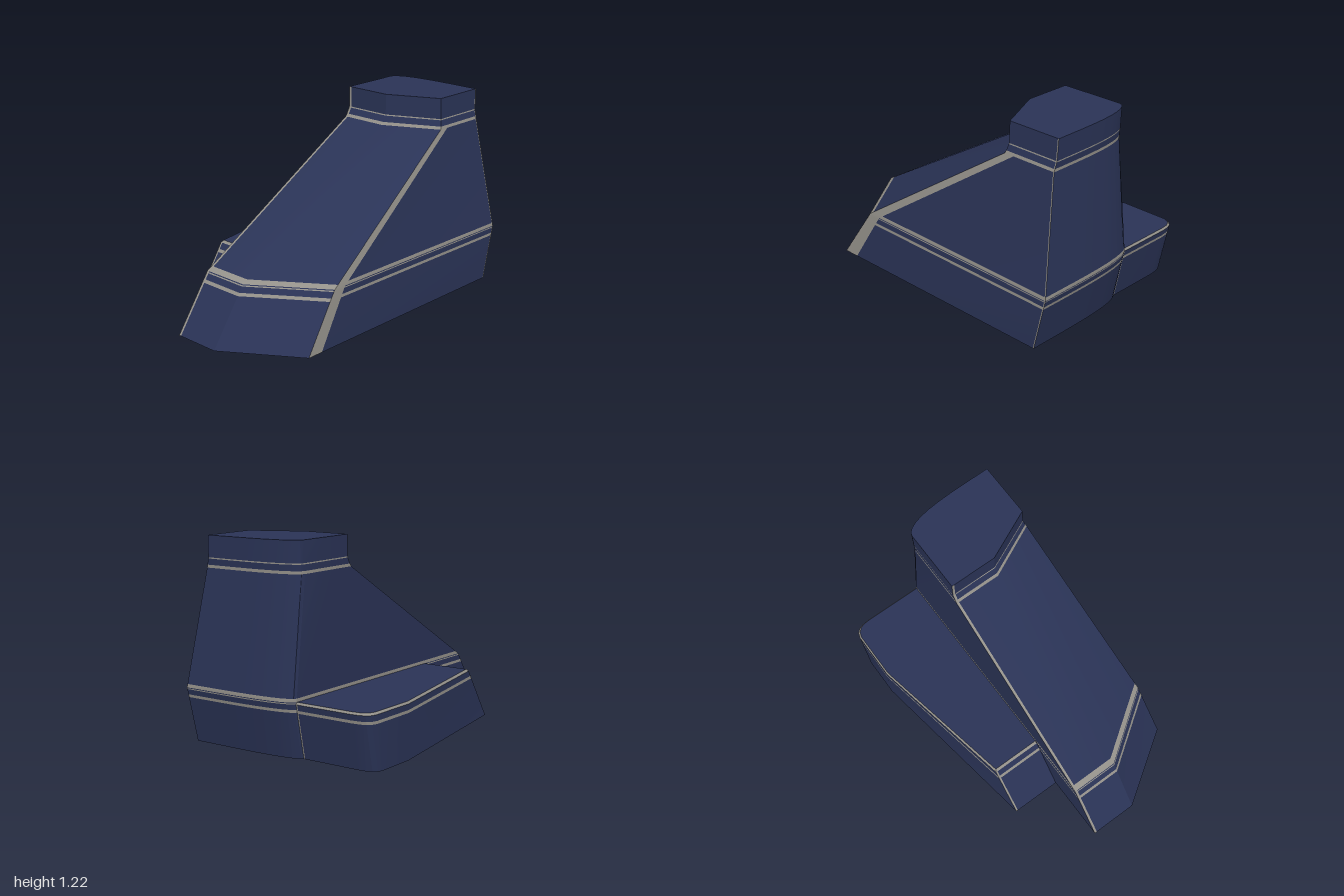
import * as THREE from 'three';
import { toCreasedNormals } from 'three/addons/utils/BufferGeometryUtils.js';

const navy = new THREE.MeshStandardMaterial({ color: 0x2a3356, side: THREE.DoubleSide });
const grey = new THREE.MeshStandardMaterial({ color: 0x94918a, side: THREE.DoubleSide });

const LEFT = -0.13; // shared plane between tower and side wing

// Interpolates a table of [y, ...values] rows at height y
function sample(table, y) {
  let i = 0;
  while (i < table.length - 2 && y > table[i + 1][0]) i++;
  const a = table[i], b = table[i + 1];
  const t = (y - a[0]) / (b[0] - a[0]);
  return a.slice(1).map((v, k) => v + (b[k + 1] - v) * t);
}

// Joins stacked rings (counter-clockwise from above) and sorts panels by material;
// kind(column, y) returns 'panel', 'trim' or null for an opening
function skin(group, name, rings, kind, capTop) {
  const out = { panel: [], trim: [] };
  const push = (list, ...pts) => pts.forEach((p) => list.push(p[0], p[1], p[2]));
  for (let r = 0; r < rings.length - 1; r++) {
    const lo = rings[r], hi = rings[r + 1], n = lo.length;
    for (let i = 0; i < n; i++) {
      const k = kind(i, lo[0][1]);
      if (!k) continue;
      const j = (i + 1) % n;
      push(out[k], lo[i], lo[j], hi[j], lo[i], hi[j], hi[i]);
    }
  }
  if (capTop) {
    const top = rings[rings.length - 1];
    for (let i = 1; i < top.length - 1; i++) push(out.panel, top[0], top[i], top[i + 1]);
  }
  for (const [key, mat] of [['panel', navy], ['trim', grey]]) {
    const geo = new THREE.BufferGeometry();
    geo.setAttribute('position', new THREE.Float32BufferAttribute(out[key], 3));
    const mesh = new THREE.Mesh(toCreasedNormals(geo, 0.4), mat);
    mesh.name = name + (key === 'trim' ? 'Trim' : 'Panels');
    group.add(mesh);
  }
}

// y, front right x, back right x, front z, corner z, edge trim width, back z, back left z, wing front z
const TOWER = [
  [0, 0.62, 0.62, 1.0, 0.70, 0.105, -0.92, -0.86, 0.59],
  [0.335, 0.60, 0.62, 0.77, 0.47, 0.085, -1.0, -0.925, 0.37],
  [1.035, 0.50, 0.50, -0.42, -0.58, 0.065, -0.935, -0.84, -0.6],
  [1.09, 0.485, 0.485, -0.45, -0.595, 0.06, -0.94, -0.845, -0.6],
  [1.22, 0.48, 0.48, -0.45, -0.595, 0.06, -0.945, -0.85, -0.6],
];
const BACK_STEPS = 10;

function towerRing(y) {
  const [xf, xb, zf, zc, w, zb, zl, zw] = sample(TOWER, y);
  const ring = [
    [LEFT, y, zf], [LEFT + 0.016, y, zf], [0.17, y, zf],
    [xf, y, zc], [xf + (xb - xf) * 0.07, y, zc - w],
    [xb, y, zb + 0.007],
  ];
  // back wall, flat on one side and rounding into the left wall
  for (let i = 0; i <= BACK_STEPS; i++) {
    const s = Math.sin((i / BACK_STEPS) * Math.PI / 2);
    ring.push([xb + (LEFT - xb) * s, y, zb + (zl - zb) * (1 - Math.sqrt(Math.max(0, 1 - s ** 4)))]);
  }
  ring.push([LEFT, y, zw]);
  return ring;
}

// y, inset, front z, back z
const WING = [
  [0, 0, 0.59, -0.865],
  [0.322, 0, 0.38, -0.93],
  [0.335, 0.009, 0.365, -0.922],
];

function wingRing(y) {
  const [d, zf, zb] = sample(WING, y);
  return [
    [LEFT, y, zf], [-0.432 + d, y, zf], [-0.444 + d, y, zf],
    [-0.62 + d, y, -0.55],
    [-0.618 + d, y, zb + 0.07], [-0.607 + d, y, zb + 0.038], [-0.585 + d, y, zb + 0.017],
    [-0.55, y, zb + 0.005], [-0.5, y, zb], [LEFT - 0.008, y, zb], [LEFT, y, zb],
  ].reverse();
}

export function createModel() {
  const model = new THREE.Group();
  model.name = 'steppedHood';

  // tall sloping tower with skirt, neck and flat top
  const tower = new THREE.Group();
  tower.name = 'tower';
  const towerLevels = [0, 0.275, 0.292, 0.324, 0.33, 0.335, 0.355, 1.033, 1.05, 1.086, 1.093, 1.22];
  const towerBands = [0.275, 0.324, 0.335, 1.033, 1.086];
  const wallColumn = 6 + BACK_STEPS;
  skin(tower, 'tower', towerLevels.map(towerRing), (i, y) => {
    if (i === wallColumn && y < 0.335) return null; // open into the wing
    if (towerBands.includes(y) || i === 0 || i === 5) return 'trim';
    return i === 3 && y < 1.05 ? 'trim' : 'panel';
  }, true);
  model.add(tower);

  // low side wing with a flat top, open underneath
  const wing = new THREE.Group();
  wing.name = 'sideWing';
  const wingLevels = [0, 0.27, 0.287, 0.322, 0.335];
  skin(wing, 'wing', wingLevels.map(wingRing), (i, y) => {
    if (i === 10) return null; // open into the tower
    return y === 0.27 || y === 0.322 || i === 0 || i === 8 ? 'trim' : 'panel';
  }, true);
  model.add(wing);

  return model;
}
